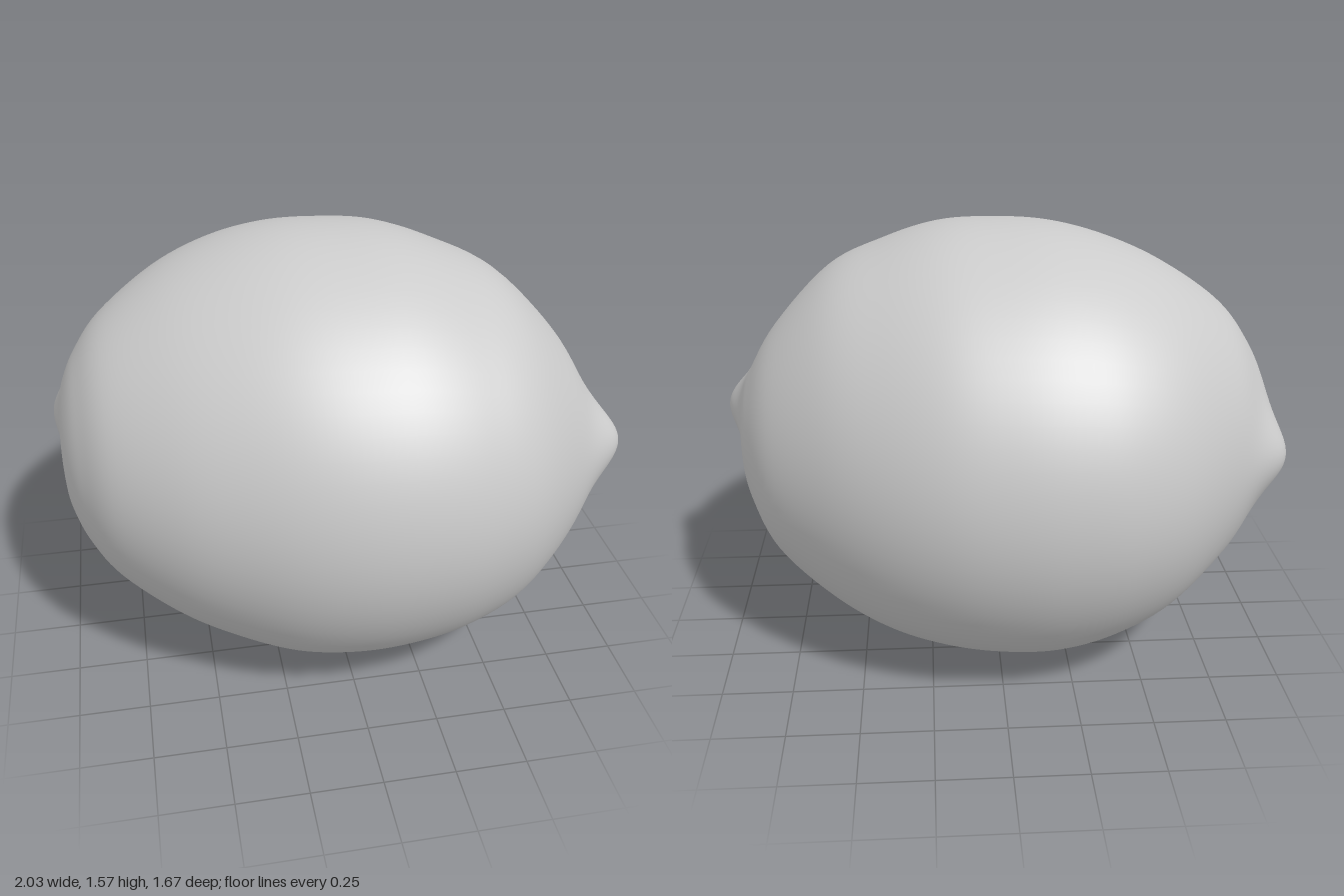
import * as THREE from 'three';

// Body cross-sections: x, zMin, zMax, yMin, yMax
const SECTIONS = [
  [-0.98, -0.06, -0.06, 0.79, 0.79],
  [-0.97, -0.22, 0.09, 0.63, 0.95],
  [-0.95, -0.30, 0.19, 0.55, 1.04],
  [-0.9, -0.38, 0.30, 0.44, 1.15],
  [-0.8, -0.51, 0.44, 0.31, 1.28],
  [-0.6, -0.70, 0.60, 0.15, 1.42],
  [-0.4, -0.80, 0.71, 0.05, 1.51],
  [-0.2, -0.835, 0.79, -0.01, 1.56],
  [0, -0.83, 0.83, -0.02, 1.57],
  [0.2, -0.79, 0.83, 0.0, 1.555],
  [0.4, -0.70, 0.79, 0.05, 1.49],
  [0.6, -0.56, 0.70, 0.15, 1.39],
  [0.8, -0.36, 0.51, 0.32, 1.18],
  [0.9, -0.17, 0.37, 0.49, 1.01],
  [0.935, -0.04, 0.27, 0.61, 0.91],
  [0.95, 0.10, 0.10, 0.76, 0.76],
];

// Raised tips at both ends: centre, push direction and spread
const TIPS = [
  { at: new THREE.Vector3(0.92, 0.8, 0.27), push: new THREE.Vector3(0.085, 0.01, 0.02), spread: 0.13 },
  { at: new THREE.Vector3(-0.95, 0.8, -0.31), push: new THREE.Vector3(-0.055, 0, -0.03), spread: 0.13 },
];

// Smooth curve of (x, middle, half width) for one pair of section limits
function limitsCurve(lo, hi) {
  const points = SECTIONS.map((s) => new THREE.Vector3(s[0], (s[lo] + s[hi]) / 2, (s[hi] - s[lo]) / 2));
  return new THREE.CatmullRomCurve3(points, false, 'catmullrom', 0.5);
}

function fruitGeometry(rings = 90, sides = 72) {
  const depth = limitsCurve(1, 2);
  const height = limitsCurve(3, 4);
  const positions = [];
  const indices = [];
  const p = new THREE.Vector3();

  const addPoint = (t, angle) => {
    const d = depth.getPoint(t);
    const h = height.getPoint(t);
    p.set(d.x, h.y + h.z * Math.cos(angle), d.y + d.z * Math.sin(angle));
    p.y = Math.max(p.y, 0.004 * (1 + Math.cos(angle))); // flattened resting spot
    const weights = TIPS.map((tip) => Math.exp(-((p.distanceTo(tip.at) / tip.spread) ** 2)));
    TIPS.forEach((tip, k) => p.addScaledVector(tip.push, weights[k]));
    positions.push(p.x, p.y, p.z);
  };

  // One point at each pole, full rings between
  addPoint(0, 0);
  for (let i = 1; i < rings; i++) {
    for (let j = 0; j < sides; j++) addPoint(i / rings, (j / sides) * Math.PI * 2);
  }
  addPoint(1, 0);

  const last = positions.length / 3 - 1;
  const id = (i, j) => (i === 0 ? 0 : i === rings ? last : 1 + (i - 1) * sides + (j % sides));
  for (let i = 0; i < rings; i++) {
    for (let j = 0; j < sides; j++) {
      if (i > 0) indices.push(id(i, j), id(i, j + 1), id(i + 1, j));
      if (i < rings - 1) indices.push(id(i, j + 1), id(i + 1, j + 1), id(i + 1, j));
    }
  }

  const geometry = new THREE.BufferGeometry();
  geometry.setAttribute('position', new THREE.Float32BufferAttribute(positions, 3));
  geometry.setIndex(indices);
  geometry.computeVertexNormals();
  return geometry;
}

export function createModel() {
  const group = new THREE.Group();
  group.name = 'lemon';
  const fruit = new THREE.Mesh(fruitGeometry(), new THREE.MeshStandardMaterial({ color: 0xcccccc }));
  fruit.name = 'fruit';
  group.add(fruit);
  return group;
}
